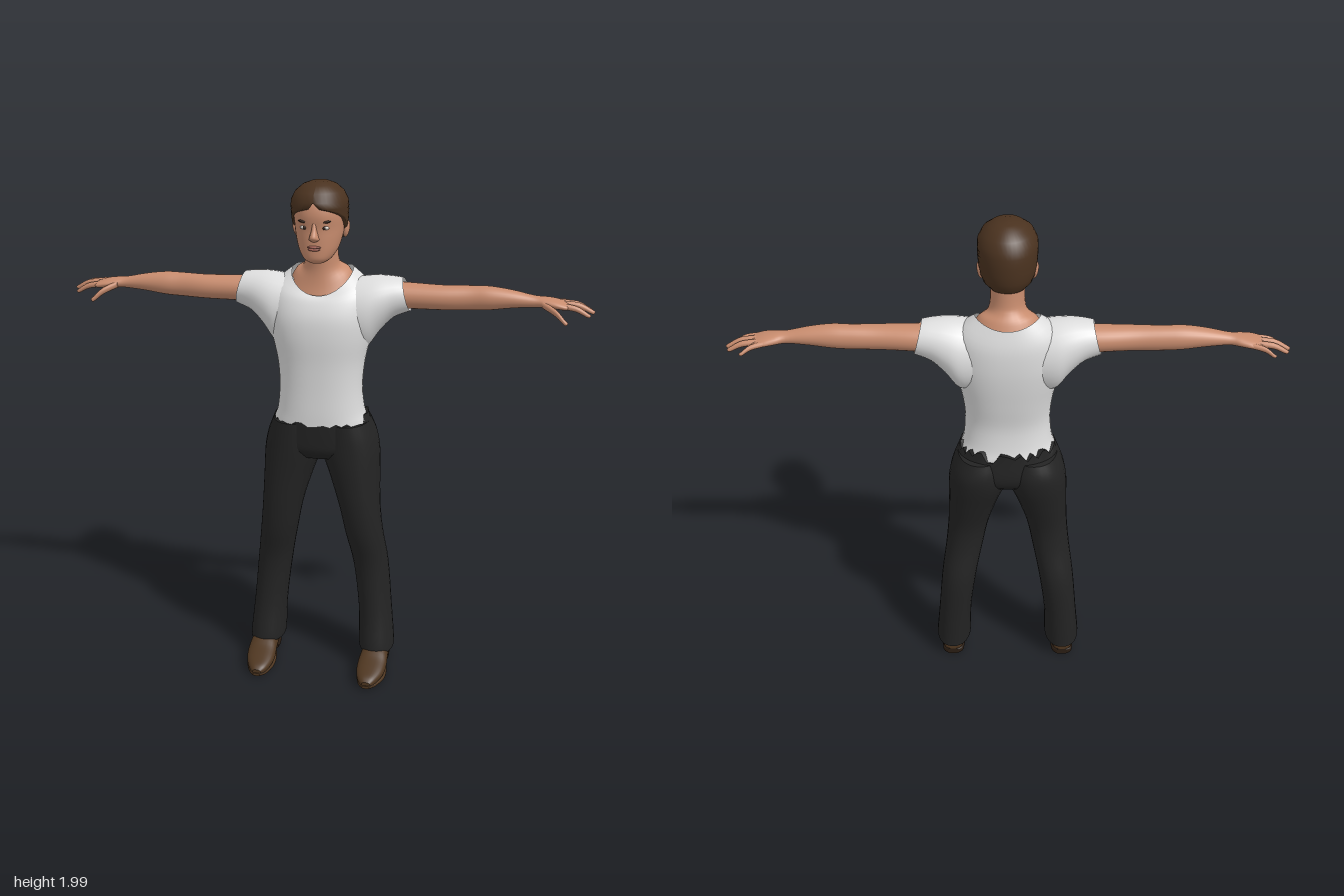
import * as THREE from 'three';

const mat = (name, color, side = THREE.FrontSide) => {
  const m = new THREE.MeshStandardMaterial({ color, side });
  m.name = name;
  return m;
};

// Skin a list of point rings; winding is fixed from the signed volume.
function skinRings(rings, closed = true, caps = true) {
  const pos = [], idx = [], n = rings[0].length;
  rings.forEach(r => r.forEach(p => pos.push(...p)));
  const m = closed ? n : n - 1;
  for (let i = 0; i < rings.length - 1; i++) for (let j = 0; j < m; j++) {
    const a = i * n + j, b = i * n + (j + 1) % n, c = a + n, d = b + n;
    idx.push(a, c, b, b, c, d);
  }
  if (caps) [0, rings.length - 1].forEach((k, end) => {
    const base = pos.length / 3, r = rings[k];
    r.forEach(p => pos.push(...p));
    pos.push(...[0, 1, 2].map(c => r.reduce((s, p) => s + p[c], 0) / n));
    for (let j = 0; j < n; j++) {
      const a = base + j, b = base + (j + 1) % n;
      end ? idx.push(a, base + n, b) : idx.push(b, base + n, a);
    }
  });
  const P = i => new THREE.Vector3(pos[3 * i] - pos[0], pos[3 * i + 1] - pos[1], pos[3 * i + 2] - pos[2]);
  let vol = 0;
  for (let t = 0; t < idx.length; t += 3) vol += P(idx[t]).dot(P(idx[t + 1]).cross(P(idx[t + 2])));
  if (vol < 0) idx.reverse();
  const g = new THREE.BufferGeometry();
  g.setAttribute('position', new THREE.Float32BufferAttribute(pos, 3));
  g.setIndex(idx);
  g.computeVertexNormals();
  return g;
}

// Catmull-Rom interpolation of cross-section rows
function smooth(rows, sub) {
  const out = [], at = i => rows[Math.min(Math.max(i, 0), rows.length - 1)];
  for (let i = 0; i < rows.length - 1; i++) for (let k = 0; k < sub; k++) {
    const t = k / sub;
    out.push([0, 1, 2, 3, 4, 5, 6].map(c => {
      const [a, b, d, e] = [i - 1, i, i + 1, i + 2].map(q => at(q)[c] ?? 0);
      return b + 0.5 * t * (d - a + t * (2 * a - 5 * b + 4 * d - e + t * (3 * (b - d) + e - a)));
    }));
  }
  out.push([0, 1, 2, 3, 4, 5, 6].map(c => at(rows.length)[c] ?? 0));
  return out;
}

// Loft along an axis. Row: [position, u0, u1, v0, v1, tilt, lift]
// axis y: u = x, v = z; axis x: u = z, v = y; axis z: u = x, v = y
function loft(axis, rows, { s = 1, n = 28, sub = 4, power = 1, caps = true, jag = 0, jagRow = 0 } = {}) {
  const list = smooth(rows, sub), hit = jagRow < 0 ? list.length - 1 : jagRow;
  const pw = v => Math.sign(v) * Math.abs(v) ** power;
  const rings = list.map(([p, u0, u1, v0, v1, tilt, lift], i) => Array.from({ length: n }, (_, j) => {
    const t = j / n * Math.PI * 2, c = pw(Math.cos(t)), d = pw(Math.sin(t));
    const u = (u0 + u1) / 2 + (u1 - u0) / 2 * c, v = (v0 + v1) / 2 + (v1 - v0) / 2 * d;
    let w = p + tilt * d + lift * c * c;
    if (jag && i === hit) w += jag * Math.sin(j * j * 1.7 + j) * (d < 0 ? 1.5 : 0.7);
    return axis === 'y' ? [s * u, w, v] : axis === 'x' ? [s * w, v, u] : [s * u, v, w];
  }));
  return skinRings(rings, true, caps);
}

export function createModel() {
  const root = new THREE.Group();
  root.name = 'standingMan';
  const skin = mat('skin', 0xc88c6e), shirt = mat('whiteShirt', 0xdedede, THREE.DoubleSide);
  const cloth = mat('blackCloth', 0x232323, THREE.DoubleSide), hair = mat('brownHair', 0x4a321f, THREE.DoubleSide);
  const leather = mat('brownLeather', 0x4e3620), heelMat = mat('darkHeel', 0x2a1d13);
  const white = mat('eyeWhite', 0xd8d0c8), dark = mat('darkBrow', 0x33231a), lip = mat('lip', 0xa8675a);
  const add = (name, geo, m, parent = root) => {
    const mesh = new THREE.Mesh(geo, m);
    mesh.name = name;
    parent.add(mesh);
    return mesh;
  };
  const blob = (name, m, p, r, tilt = 0) => {
    const b = add(name, new THREE.SphereGeometry(1, 16, 10), m);
    b.position.set(...p); b.scale.set(...r); b.rotation.z = tilt;
  };

  // Shirt body, with a scooped neckline and an uneven hem
  add('shirtBody', loft('y', [
    [1.085, -.183, .183, -.162, .096], [1.13, -.168, .168, -.148, .097], [1.22, -.16, .16, -.14, .097],
    [1.32, -.168, .168, -.155, .1], [1.42, -.19, .19, -.17, .107], [1.5, -.2, .2, -.176, .102],
    [1.57, -.185, .185, -.172, .078, -.01, .03], [1.615, -.115, .115, -.152, .056, -.035, .045],
  ], { n: 48, power: .88, caps: false, jag: .011 }), shirt);

  // Trouser seat
  add('trouserSeat', loft('y', [
    [.935, -.15, .15, -.13, .055], [.97, -.21, .21, -.165, .078], [1.02, -.213, .213, -.178, .084],
    [1.105, -.18, .18, -.168, .088],
  ], { n: 48, power: .9, jag: .014, jagRow: -1 }), cloth);

  // Neck and upper chest
  add('neck', loft('y', [
    [1.6, -.116, .116, -.148, .05, -.04, .035], [1.64, -.1, .1, -.133, .036, -.03, .02],
    [1.68, -.07, .07, -.115, .03, -.015], [1.72, -.061, .061, -.105, .035], [1.79, -.06, .06, -.1, .04],
  ]), skin);

  // Head, nose and ears
  add('head', loft('y', [
    [1.706, -.028, .028, .02, .086], [1.72, -.05, .05, -.02, .103], [1.75, -.07, .07, -.06, .107],
    [1.79, -.083, .083, -.09, .108], [1.83, -.09, .09, -.105, .108], [1.88, -.093, .093, -.11, .114],
    [1.93, -.088, .088, -.105, .1], [1.965, -.06, .06, -.075, .06], [1.978, -.02, .02, -.03, .02],
  ], { n: 36, power: .92 }), skin);
  add('nose', loft('y', [
    [1.787, -.01, .01, .08, .113], [1.795, -.019, .019, .08, .128], [1.806, -.016, .016, .08, .136],
    [1.83, -.01, .01, .08, .122], [1.853, -.009, .009, .08, .112],
  ], { n: 16 }), skin);
  blob('upperLip', lip, [0, 1.768, .108], [.026, .005, .008]);
  blob('lowerLip', lip, [0, 1.76, .108], [.022, .006, .008]);
  for (const s of [1, -1]) {
    blob('ear', skin, [s * .094, 1.818, -.018], [.012, .032, .02], s * -.15);
    blob('eye', white, [s * .037, 1.836, .097], [.016, .007, .007]);
    blob('iris', dark, [s * .036, 1.836, .1], [.007, .007, .006]);
    blob('eyebrow', dark, [s * .038, 1.857, .1], [.023, .005, .007], s * .15);
  }

  // Hair shell: [height, half width, front, back, half angle left open for the face]
  const hairRows = [
    [1.765, .07, .09, -.098, 125], [1.785, .088, .1, -.112, 108], [1.81, .097, .11, -.121, 92],
    [1.84, .102, .118, -.124, 78], [1.868, .104, .122, -.125, 62], [1.888, .105, .126, -.124, 40],
    [1.902, .105, .128, -.122, 12], [1.925, .103, .129, -.118, 0], [1.955, .088, .11, -.1, 0],
    [1.978, .06, .075, -.07, 0], [1.988, .032, .04, -.04, 0], [1.99, .001, .001, -.001, 0],
  ];
  add('hair', skinRings(hairRows.map(([y, w, f, b, open]) => Array.from({ length: 41 }, (_, j) => {
    const a = open * Math.PI / 180, t = a + (Math.PI - a) * j / 20;
    const k = open && (j === 0 || j === 40) ? .9 : 1;
    return [k * w * Math.sin(t), y, (f + b) / 2 + k * (f - b) / 2 * Math.cos(t)];
  })), false, false), hair);

  for (const s of [1, -1]) {
    const side = s > 0 ? 'left' : 'right';
    const arm = new THREE.Group(), leg = new THREE.Group();
    arm.name = side + 'Arm'; leg.name = side + 'Leg';
    root.add(arm, leg);

    // Sleeve and arm down to the palm
    add('sleeve', loft('x', [
      [.1, -.15, .06, 1.37, 1.63], [.17, -.16, .06, 1.37, 1.642], [.22, -.15, .045, 1.435, 1.645],
      [.27, -.136, .025, 1.487, 1.642], [.318, -.125, .01, 1.515, 1.637, -.016],
    ], { s, caps: false }), shirt, arm);
    add('armAndPalm', loft('x', [
      [.24, -.115, .0, 1.515, 1.622], [.33, -.112, -.002, 1.523, 1.62], [.45, -.1, -.006, 1.525, 1.617],
      [.55, -.1, -.016, 1.528, 1.619], [.62, -.1, -.014, 1.532, 1.62], [.7, -.094, -.02, 1.543, 1.61],
      [.78, -.086, -.03, 1.55, 1.594], [.82, -.1, -.022, 1.55, 1.59], [.86, -.112, -.014, 1.548, 1.584],
      [.895, -.11, -.016, 1.546, 1.574], [.905, -.095, -.03, 1.553, 1.568],
    ], { s }), skin, arm);

    // Fingers and thumb: start, knuckle and tip, each x y z, then radius
    const fingers = {
      littleFinger: [[.85, 1.567, -.098], [.9, 1.562, -.117], [.94, 1.548, -.136], .01],
      ringFinger: [[.87, 1.566, -.085], [.935, 1.562, -.092], [.99, 1.542, -.097], .011],
      middleFinger: [[.87, 1.566, -.062], [.94, 1.562, -.065], [1, 1.54, -.069], .0115],
      indexFinger: [[.87, 1.564, -.035], [.93, 1.556, -.035], [.985, 1.533, -.036], .011],
      thumb: [[.81, 1.567, -.035], [.86, 1.545, -.002], [.905, 1.515, .017], .013],
    };
    for (const [name, [a, b, c, r]] of Object.entries(fingers)) {
      const row = (p, q, dx = 0) => [p[0] + dx, p[2] - q, p[2] + q, p[1] - q, p[1] + q];
      add(name, loft('x', [row(a, r), row(b, r), row(c, r * .75, -.01), row(c, r * .15)], { s, n: 12 }), skin, arm);
    }

    // Trouser leg
    add('trouserLeg', loft('y', [
      [.075, .165, .305, -.152, .045], [.1, .16, .305, -.152, .05], [.25, .155, .29, -.156, .026],
      [.45, .13, .271, -.16, .022], [.6, .1, .25, -.132, .055], [.72, .075, .238, -.13, .07],
      [.85, .035, .232, -.16, .076], [.95, 0, .228, -.186, .08], [1.02, 0, .214, -.193, .082],
      [1.08, .01, .19, -.175, .083],
    ], { s, power: .92 }), cloth, leg);

    // Shoe upper, sole and heel
    add('shoe', loft('z', [
      [-.125, .215, .26, .03, .08], [-.11, .195, .28, .018, .1], [-.04, .185, .288, .02, .11],
      [.03, .18, .292, .016, .1], [.08, .175, .293, .01, .078], [.13, .178, .284, .008, .062],
      [.175, .193, .262, .008, .048], [.195, .21, .245, .014, .034],
    ], { s, power: .8 }), leather, leg);
    add('sole', loft('z', [
      [.0, .19, .28, .008, .026], [.05, .178, .292, 0, .018], [.11, .176, .29, 0, .018],
      [.17, .192, .265, .002, .018], [.2, .213, .242, .008, .02],
    ], { s, power: .5 }), leather, leg);
    add('heel', loft('z', [
      [-.125, .215, .26, 0, .03], [-.11, .195, .28, 0, .03], [-.06, .188, .285, 0, .03], [-.03, .19, .283, 0, .03],
    ], { s, power: .5 }), heelMat, leg);
  }
  return root;
}
